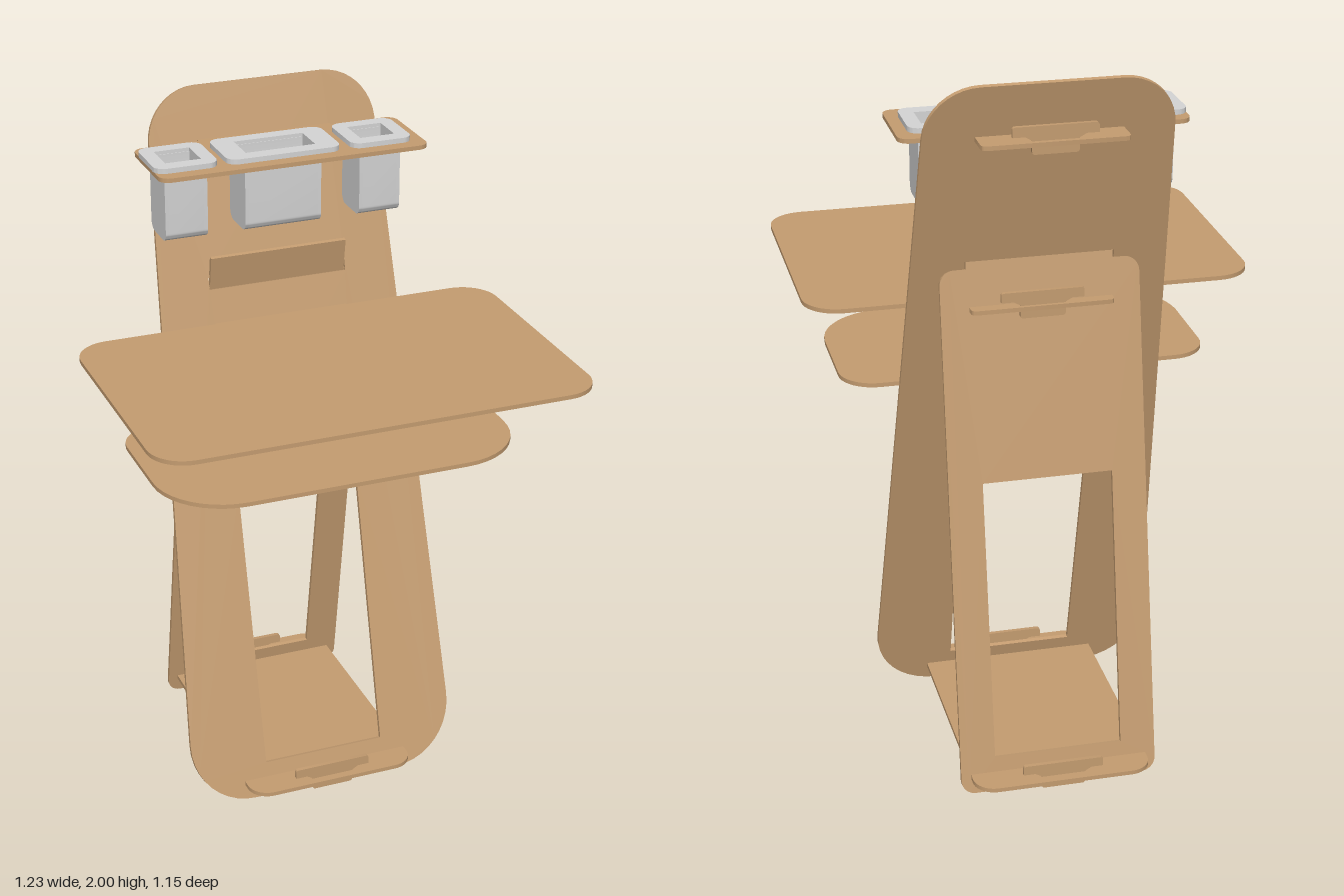
import * as THREE from 'three';
import { mergeGeometries, toCreasedNormals } from 'three/addons/utils/BufferGeometryUtils.js';

const T = 0.012; // board thickness

// Closed polygon of [x, y, cornerRadius] points with rounded corners
function rounded(points, Type = THREE.Shape) {
  const s = new Type();
  const n = points.length;
  const v = points.map(p => new THREE.Vector2(p[0], p[1]));
  points.forEach(([, , r = 0], i) => {
    const p = v[i];
    const toward = (q, d) => p.clone().add(q.clone().sub(p).setLength(d));
    const a = r ? toward(v[(i + n - 1) % n], r) : p;
    const b = r ? toward(v[(i + 1) % n], r) : p;
    if (i === 0) s.moveTo(a.x, a.y); else s.lineTo(a.x, a.y);
    if (r) {
      const c = a.clone().lerp(p, 0.552), d = b.clone().lerp(p, 0.552);
      s.bezierCurveTo(c.x, c.y, d.x, d.y, b.x, b.y);
    }
  });
  s.closePath();
  return s;
}

// Mirrors the right-hand points of an outline across x = 0
function mirrored(half) {
  return [...half, ...half.map(([x, y, r]) => [-x, y, r]).reverse()];
}

function rect(x0, x1, y0, y1, r = 0) {
  return [[x0, y0, r], [x1, y0, r], [x1, y1, r], [x0, y1, r]];
}

// Board extruded along z, centred on its own plane
function boardGeometry(outline, holes = [], depth = T) {
  const s = rounded(outline);
  s.holes = holes.map(h => rounded(h, THREE.Path));
  const g = new THREE.ExtrudeGeometry(s, { depth, bevelEnabled: false, curveSegments: 10 });
  g.translate(0, 0, -depth / 2);
  return toCreasedNormals(g, 0.6);
}

export function createModel() {
  const model = new THREE.Group();
  model.name = 'displayStand';
  const wood = new THREE.MeshStandardMaterial({ color: 0xc49c70 });
  wood.name = 'plywood';
  const plastic = new THREE.MeshStandardMaterial({ color: 0xd4d4d4 });
  plastic.name = 'pale grey plastic';

  function add(name, geometry, material = wood) {
    const m = new THREE.Mesh(geometry, material);
    m.name = name;
    model.add(m);
    return m;
  }

  // Leaning panels: outlines use upright heights, stretched along the slope
  function leaningPanel(name, outline, holes, z, run) {
    const angle = Math.atan(run);
    const g = boardGeometry(outline, holes);
    g.scale(1, 1 / Math.cos(angle), 1);
    g.rotateX(angle);
    add(name, g).position.z = z;
  }
  const window = rect(-0.18, 0.18, 0.1, 0.88);
  leaningPanel('frontPanel',
    mirrored([[0.41, 0.004, 0.19], [0.326, 1.998, 0.14]]),
    [window, rect(-0.203, 0.203, 1.452, 1.485)], 0.15, -0.265);
  leaningPanel('rearPanel',
    mirrored([[0.278, 0.004, 0.04], [0.272, 1.46, 0.04], [0.2, 1.46], [0.2, 1.55]]),
    [window], -0.495, 0.174);

  // Flat shelves: outline y is the model's z
  function shelf(name, outline, y, holes) {
    const g = boardGeometry(outline, holes);
    g.rotateX(Math.PI / 2);
    add(name, g).position.y = y;
  }
  // Shelf with a narrow tab at the back
  const tabbed = (w, front, back, rFront, rBack, tabEnd) => mirrored([
    [0.195, tabEnd, 0.015], [0.195, back], [w, back, rBack], [w, front, rFront],
  ]);

  const cups = [[-0.2975, 0.06], [-0.02, 0.11], [0.2625, 0.06]]; // centre x, half width
  shelf('desktop', tabbed(0.617, 0.573, -0.2, 0.1, 0.1, -0.297), 1.355);
  shelf('lowerShelf', tabbed(0.515, 0.385, -0.138, 0.2, 0.1, -0.232), 1.105);
  shelf('cupShelf', tabbed(0.385, -0.07, -0.325, 0.03, 0.03, -0.428), 1.85,
    cups.map(([x, w]) => rect(x - w, x + w, -0.255, -0.13)));
  shelf('footShelf', rect(-0.25, 0.25, -0.574, 0.223, 0.06), 0.054);

  // T-shaped keys dropped through the shelf tabs
  const keyGeometry = boardGeometry(mirrored([
    [0.062, -0.03, 0.008], [0.062, 0.008], [0.08, 0.018], [0.113, 0.018], [0.113, 0.045, 0.008],
  ]));
  [[0.054, 0.194], [0.054, -0.54], [1.105, -0.203], [1.355, -0.281], [1.85, -0.408]]
    .forEach(([y, z]) => add('lockingKey', keyGeometry).position.set(0, y, z));

  // Cups: hollow trough with end walls and a wide rim
  const top = 1.86, floor = 1.652, wall = 0.01;
  const sideOutline = [[-0.255, top], [-0.255, floor, 0.025], [-0.13, floor, 0.025], [-0.13, top]];
  const trough = [...sideOutline, [-0.15, top], [-0.15, floor + wall, 0.022],
    [-0.245, floor + wall, 0.015], [-0.245, top]];
  cups.forEach(([x, w]) => {
    // the profile is drawn in z and y, then turned so depth runs along x
    const along = (outline, depth, cx) => {
      const g = boardGeometry(outline.map(([z, y, r]) => [-z, y, r]), [], depth);
      return g.rotateY(Math.PI / 2).translate(cx, 0, 0);
    };
    const body = mergeGeometries([
      along(trough, 2 * (w - wall), x),
      along(sideOutline, wall, x - w + wall / 2),
      along(sideOutline, wall, x + w - wall / 2),
    ]);
    add('cupBody', body, plastic);

    const rimW = w === 0.11 ? 0.163 : 0.089;
    const rim = boardGeometry(rect(x - rimW, x + rimW, -0.286, -0.108, 0.03),
      [rect(x - w + wall, x + w - wall, -0.247, -0.15)], 0.014);
    rim.rotateX(Math.PI / 2);
    add('cupRim', rim, plastic).position.y = 1.863;
  });

  return model;
}
